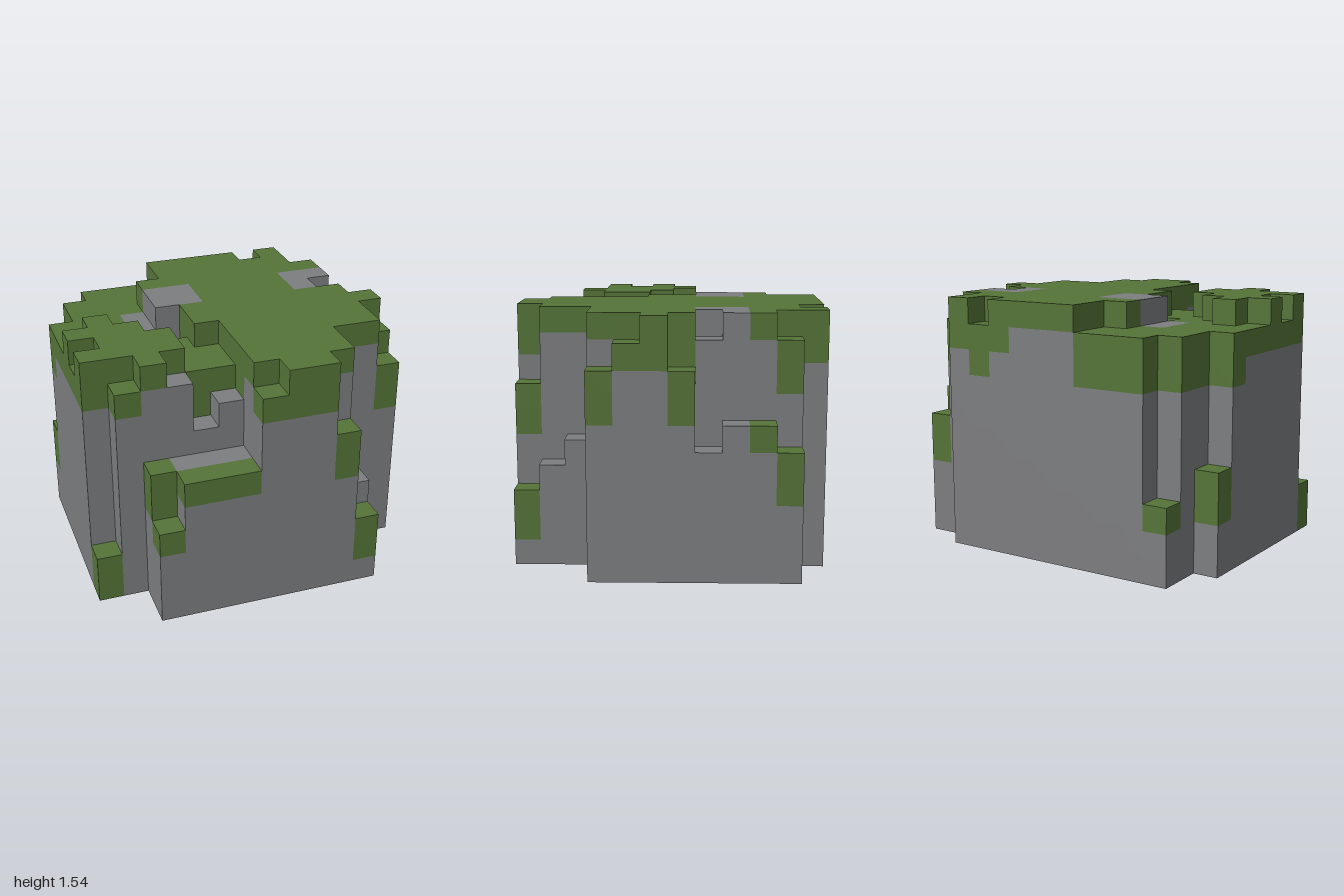
import * as THREE from 'three';

const NX = 13, NZ = 12, U = 2 / 13; // grid of columns and block size

export function createModel() {
  const stone = new THREE.MeshStandardMaterial({ color: 0x7d7e80 });
  stone.name = 'stone grey';
  const grass = new THREE.MeshStandardMaterial({ color: 0x557438 });
  grass.name = 'grass green';

  // Each column has a height in blocks and a depth of grass at its top
  const cols = Array.from({ length: NX * NZ }, () => ({ h: 0, g: 0 }));
  const fill = (x0, x1, z0, z1, h, g) => {
    for (let x = x0; x <= x1; x++)
      for (let z = z0; z <= z1; z++) cols[z * NX + x] = { h, g };
  };
  const cell = (x, z, h, g) => fill(x, x, z, z, h, g);

  // High eastern plateau
  fill(5, 10, 0, 11, 10, 1);
  fill(11, 12, 2, 8, 10, 1);
  fill(5, 5, 5, 6, 10, 2);
  cell(6, 9, 10, 2);

  // Shallow valley
  fill(1, 4, 0, 1, 9, 2);
  fill(0, 4, 2, 8, 9, 2);
  fill(5, 5, 7, 8, 9, 2);
  fill(0, 0, 4, 5, 9, 1);
  cell(4, 2, 10, 1);
  cell(4, 5, 8, 1);
  cell(1, 0, 3, 1);
  cell(0, 2, 4, 2);

  // Western plateau
  cell(1, 5, 10, 2);
  fill(0, 2, 6, 6, 10, 2);
  fill(0, 3, 7, 8, 10, 2);
  cell(3, 8, 10, 1);
  cell(0, 7, 9, 1);

  // Front terrace and its broken wall
  cell(0, 9, 2, 2);
  cell(1, 9, 9, 1);
  cell(2, 9, 10, 1);
  cell(3, 9, 9, 0);
  cell(4, 9, 7, 0);
  cell(5, 9, 8, 0);
  cell(2, 10, 6, 2);
  fill(3, 5, 10, 10, 6, 0);
  cell(2, 11, 4, 1);
  fill(3, 5, 11, 11, 6, 1);

  // Front edge and corner steps
  cell(6, 11, 9, 1);
  fill(7, 8, 11, 11, 10, 2);
  cell(9, 11, 7, 2);
  cell(10, 9, 5, 0);
  cell(10, 10, 4, 0);
  cell(10, 11, 3, 2);
  fill(11, 12, 9, 11, 0, 0);

  // Right side ledges
  cell(11, 1, 9, 2);
  cell(12, 1, 5, 2);
  cell(12, 2, 6, 1);
  cell(12, 3, 6, 0);
  cell(12, 4, 5, 0);
  fill(10, 11, 3, 4, 10, 0);
  cell(11, 4, 9, 0);
  cell(11, 5, 10, 2);
  cell(12, 5, 8, 2);
  cell(12, 6, 10, 2);
  cell(12, 7, 9, 1);
  cell(12, 8, 8, 2);

  // Back edge and bare rock on top
  cell(8, 0, 10, 2);
  cell(9, 0, 9, 2);
  cell(10, 0, 10, 2);
  fill(3, 3, 3, 4, 9, 0);
  fill(4, 5, 3, 4, 10, 0);

  const height = (x, z) =>
    x < 0 || z < 0 || x >= NX || z >= NZ ? 0 : cols[z * NX + x].h;
  const solid = (x, y, z) => y >= 0 && y < height(x, z);

  // Outer faces of all blocks of one kind
  const surface = (wantGrass) => {
    const pos = [], nor = [], idx = [];
    const face = (p, axis, sign) => {
      const a = (axis + 1) % 3, b = (axis + 2) % 3, base = pos.length / 3;
      for (const [s, t] of [[0, 0], [1, 0], [1, 1], [0, 1]]) {
        const v = [...p], n = [0, 0, 0];
        if (sign > 0) v[axis]++;
        v[a] += s;
        v[b] += t;
        n[axis] = sign;
        pos.push((v[0] - NX / 2) * U, v[1] * U, (v[2] - NZ / 2) * U);
        nor.push(...n);
      }
      const order = sign > 0 ? [0, 1, 2, 0, 2, 3] : [0, 2, 1, 0, 3, 2];
      idx.push(...order.map((i) => base + i));
    };
    for (let x = 0; x < NX; x++)
      for (let z = 0; z < NZ; z++) {
        const { h, g } = cols[z * NX + x];
        for (let y = 0; y < h; y++) {
          if ((y >= h - g) !== wantGrass) continue;
          for (let axis = 0; axis < 3; axis++)
            for (const sign of [-1, 1]) {
              const q = [x, y, z];
              q[axis] += sign;
              if (!solid(...q)) face([x, y, z], axis, sign);
            }
        }
      }
    const geo = new THREE.BufferGeometry();
    geo.setAttribute('position', new THREE.Float32BufferAttribute(pos, 3));
    geo.setAttribute('normal', new THREE.Float32BufferAttribute(nor, 3));
    geo.setIndex(idx);
    return geo;
  };

  const group = new THREE.Group();
  group.name = 'grassyRock';
  const rock = new THREE.Mesh(surface(false), stone);
  rock.name = 'rockBody';
  const turf = new THREE.Mesh(surface(true), grass);
  turf.name = 'grassCap';
  group.add(rock, turf);
  return group;
}
